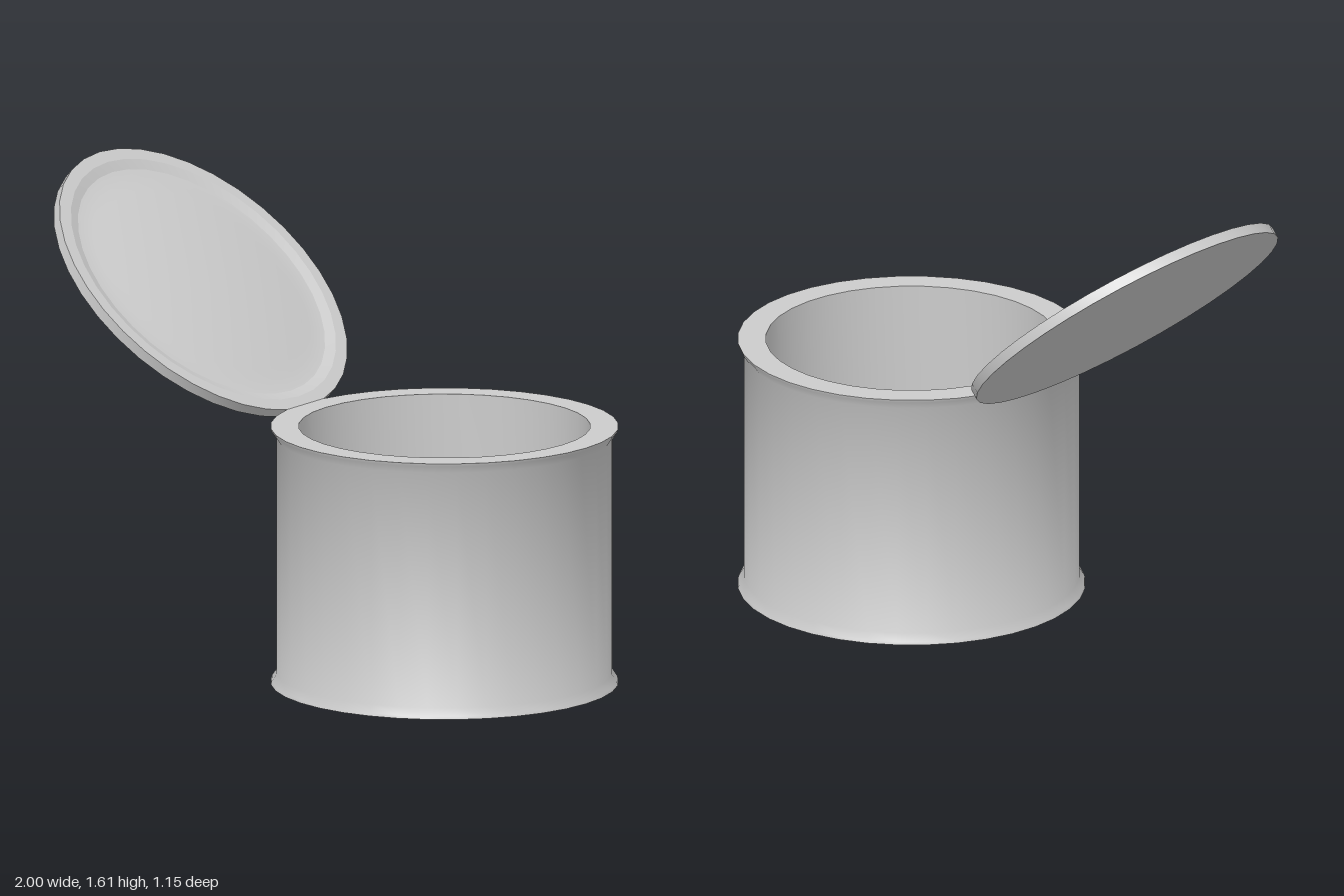
import * as THREE from 'three';
import { toCreasedNormals } from 'three/addons/utils/BufferGeometryUtils.js';

const material = new THREE.MeshStandardMaterial({ color: 0xcccccc, side: THREE.DoubleSide });

// Revolve a profile of [radius, height] points, keeping sharp edges crisp
function lathe(name, points, crease) {
  const profile = points.map(([r, y]) => new THREE.Vector2(r, y));
  const geometry = toCreasedNormals(new THREE.LatheGeometry(profile, 36), crease);
  const mesh = new THREE.Mesh(geometry, material);
  mesh.name = name;
  return mesh;
}

export function createModel() {
  const group = new THREE.Group();
  group.name = 'openCan';

  // Can: closed base, flared rims at both ends, hollow inside
  const can = new THREE.Group();
  can.name = 'can';
  can.position.x = 0.425;
  can.add(lathe('canBody', [
    [0, 0], [0.575, 0], [0.572, 0.01], [0.556, 0.035],
    [0.556, 0.83], [0.572, 0.855], [0.575, 0.865],
    [0.482, 0.865], [0.482, 0.03], [0, 0.03],
  ], 0.7));
  group.add(can);

  // Lid: thin disc with a stamped ring groove, tilted open beside the rim
  const lid = lathe('lid', [
    [0, -0.018], [0.565, -0.018], [0.565, 0.018], [0.52, 0.018],
    [0.485, 0.006], [0.43, 0.006], [0.39, 0.014], [0, 0.014],
  ], 0.2);
  lid.position.set(-0.567, 1.22, 0);
  lid.rotation.z = -0.727;
  group.add(lid);

  return group;
}
